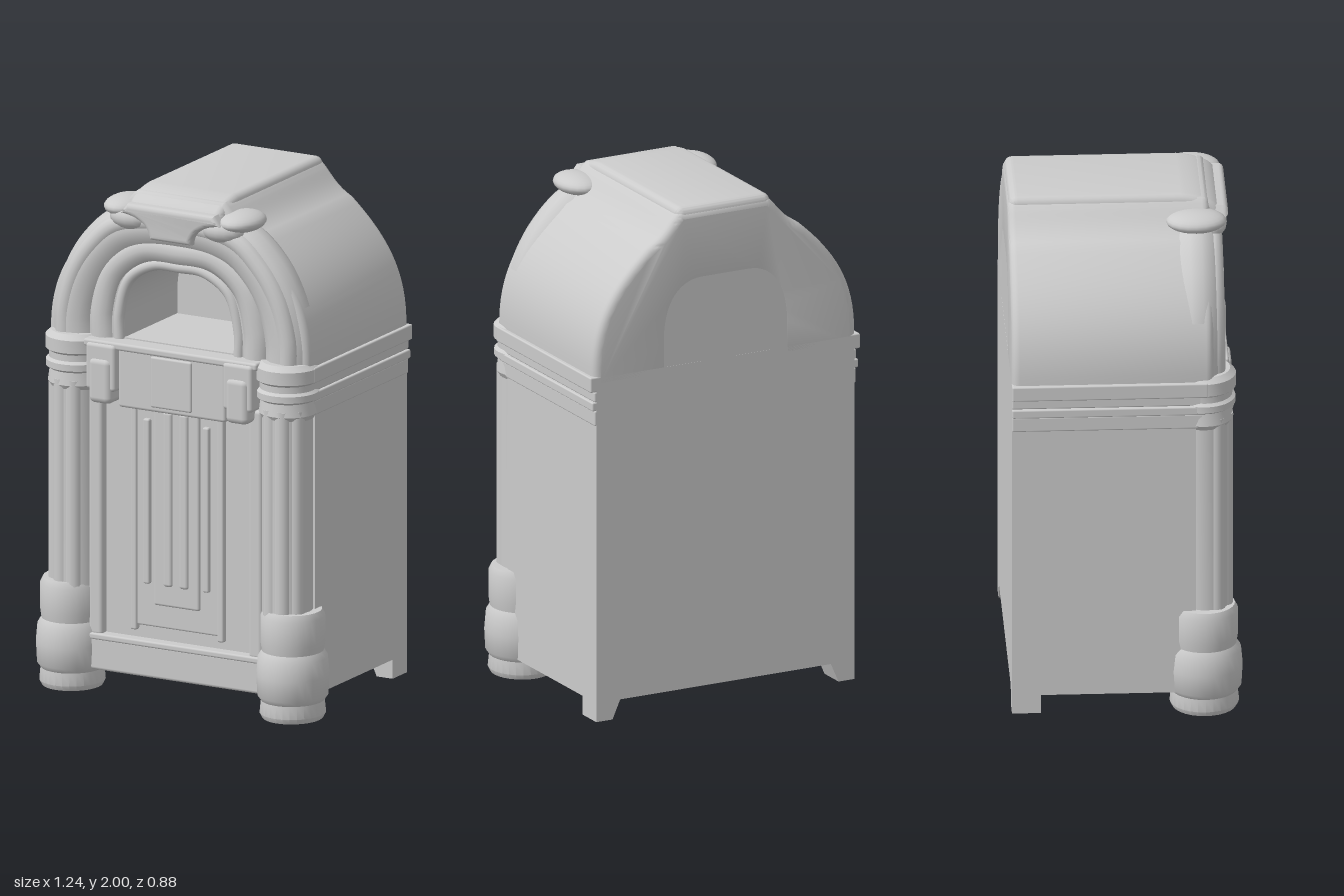
import * as THREE from 'three';
import { toCreasedNormals } from 'three/addons/utils/BufferGeometryUtils.js';
import { RoundedBoxGeometry } from 'three/addons/geometries/RoundedBoxGeometry.js';

const material = new THREE.MeshStandardMaterial({ color: 0xcccccc });

export function createModel() {
  const model = new THREE.Group();

  const add = (name, geometry, x = 0, y = 0, z = 0) => {
    const mesh = new THREE.Mesh(geometry, material);
    mesh.name = name;
    mesh.position.set(x, y, z);
    model.add(mesh);
    return mesh;
  };
  // Box given by its limits, with optional rounded edges
  const box = (name, x0, x1, y0, y1, z0, z1, r = 0) => {
    const size = [x1 - x0, y1 - y0, z1 - z0];
    const geometry = r ? new RoundedBoxGeometry(...size, 2, r) : new THREE.BoxGeometry(...size);
    return add(name, geometry, (x0 + x1) / 2, (y0 + y1) / 2, (z0 + z1) / 2);
  };
  // Extrusion between two depths, bevelled inwards so that the outline keeps its size
  const slab = (name, shape, z0, z1, bevel = 0) => {
    const geometry = new THREE.ExtrudeGeometry(shape, {
      depth: z1 - z0 - 2 * bevel, bevelEnabled: bevel > 0, bevelThickness: bevel,
      bevelSize: bevel, bevelOffset: -bevel, bevelSegments: 4, curveSegments: 16,
    });
    return add(name, toCreasedNormals(geometry, 0.6), 0, 0, z0 + bevel);
  };
  // Turned part from [radius, height] pairs
  const turned = (name, profile, x, z) => add(name, toCreasedNormals(
    new THREE.LatheGeometry(profile.map(p => new THREE.Vector2(...p)), 28), 0.6), x, 0, z);
  // Moulding following half an arch, mirrored over the centre
  const archMoulding = (name, half, radius, z) => {
    const left = half.map(([x, y]) => new THREE.Vector3(-x, y, 0));
    const right = half.filter(p => p[0] > 0).reverse().map(([x, y]) => new THREE.Vector3(x, y, 0));
    const curve = new THREE.CatmullRomCurve3([...left, ...right]);
    add(name, new THREE.TubeGeometry(curve, 64, radius, 14), 0, 0, z);
  };

  // Lower cabinet and skirt
  box('cabinet', -0.56, 0.56, 0.085, 1.38, -0.44, 0.26);
  box('frontBoard', -0.44, 0.44, 0.085, 1.38, 0.15, 0.3);
  box('skirt', -0.42, 0.42, 0.085, 0.215, 0.2, 0.36, 0.012);
  box('skirtLip', -0.4, 0.4, 0.205, 0.23, 0.2, 0.365, 0.008);

  // Front door with stepped vertical panels
  box('door', -0.34, 0.34, 0.22, 1.16, 0.2, 0.32);
  box('doorPanel', -0.19, 0.19, 0.28, 1.15, 0.28, 0.332, 0.008);
  box('doorCentre', -0.1, 0.1, 0.37, 1.15, 0.3, 0.345, 0.01);
  for (const x of [-0.035, 0.035]) box('doorRib', x - 0.02, x + 0.02, 0.45, 1.14, 0.31, 0.355, 0.012);

  // Domed hood, a horseshoe around the window
  const hood = new THREE.Shape();
  hood.moveTo(0.57, 1.33);
  hood.lineTo(0.57, 1.38);
  hood.bezierCurveTo(0.575, 1.6, 0.48, 1.73, 0.33, 1.86);
  hood.bezierCurveTo(0.25, 1.9, 0.23, 1.96, 0.19, 1.985);
  hood.lineTo(-0.19, 1.985);
  hood.bezierCurveTo(-0.23, 1.96, -0.25, 1.9, -0.33, 1.86);
  hood.bezierCurveTo(-0.48, 1.73, -0.575, 1.6, -0.57, 1.38);
  hood.lineTo(-0.57, 1.33);
  hood.lineTo(-0.24, 1.33);
  hood.lineTo(-0.24, 1.48);
  hood.bezierCurveTo(-0.24, 1.6, -0.2, 1.69, -0.1, 1.69);
  hood.lineTo(0.1, 1.69);
  hood.bezierCurveTo(0.2, 1.69, 0.24, 1.6, 0.24, 1.48);
  hood.lineTo(0.24, 1.33);
  slab('hood', hood, -0.44, 0.33, 0.03);
  box('windowBack', -0.3, 0.3, 1.33, 1.75, -0.4395, -0.08);
  box('windowFloor', -0.3, 0.3, 1.3, 1.4, -0.2, 0.32);

  // Raised spine along the top, curving down at the front
  const spine = new THREE.Shape();
  spine.moveTo(-0.435, 1.9);
  spine.lineTo(-0.435, 1.96);
  spine.quadraticCurveTo(-0.435, 2, -0.4, 2);
  spine.lineTo(0.22, 2);
  spine.bezierCurveTo(0.32, 1.99, 0.37, 1.96, 0.385, 1.9);
  spine.closePath();
  const spineMesh = slab('topSpine', spine, -0.205, 0.205, 0.03);
  spineMesh.rotation.y = -Math.PI / 2;
  spineMesh.position.set(0.175, 0, 0);

  // Arched mouldings over the window
  archMoulding('outerArch', [[0.465, 1.34], [0.462, 1.47], [0.425, 1.61], [0.35, 1.73], [0.24, 1.82], [0, 1.86]], 0.1, 0.27);
  archMoulding('outerArchBead', [[0.49, 1.36], [0.485, 1.49], [0.44, 1.64], [0.36, 1.76], [0.25, 1.85], [0, 1.88]], 0.04, 0.335);
  archMoulding('innerArch', [[0.335, 1.36], [0.335, 1.5], [0.285, 1.66], [0.16, 1.755], [0, 1.765]], 0.06, 0.295);
  archMoulding('windowTrim', [[0.262, 1.38], [0.262, 1.49], [0.217, 1.635], [0.11, 1.703], [0, 1.708]], 0.022, 0.32);

  // Crest between the scrolled shoulders
  const crest = new THREE.Shape();
  crest.moveTo(-0.09, 1.82);
  crest.lineTo(0.09, 1.82);
  crest.quadraticCurveTo(0.1, 1.9, 0.22, 1.91);
  crest.lineTo(0.19, 1.95);
  crest.lineTo(-0.19, 1.95);
  crest.lineTo(-0.22, 1.91);
  crest.quadraticCurveTo(-0.1, 1.9, -0.09, 1.82);
  slab('crest', crest, 0.28, 0.4, 0.02);

  // Stepped belt around the sides, flush at the back
  for (const [y0, y1, w] of [[1.19, 1.25, 0.567], [1.25, 1.285, 0.577], [1.285, 1.325, 0.568], [1.325, 1.385, 0.585]]) {
    for (const s of [-1, 1]) box('belt', s * w - 0.03 * (1 + s), s * w + 0.03 * (1 - s), y0, y1, -0.44, w - 0.28, 0.006);
  }
  box('frontPanel', -0.235, 0.235, 1.14, 1.385, 0.2, 0.38, 0.012);
  box('frontPanelCentre', -0.09, 0.09, 1.16, 1.36, 0.3, 0.388, 0.008);
  box('windowLedge', -0.38, 0.38, 1.365, 1.395, 0.25, 0.395, 0.01);

  for (const s of [-1, 1]) {
    // Scrolls curling forward over the arch
    const lobe = add('shoulderScroll', new THREE.SphereGeometry(1, 20, 14), s * 0.25, 1.915, 0.275);
    lobe.scale.set(0.085, 0.04, 0.115);
    const curl = add('scrollCurl', new THREE.SphereGeometry(1, 16, 12), s * 0.2, 1.885, 0.335);
    curl.scale.set(0.09, 0.05, 0.06);

    // Corner columns with raised flutes
    const cx = s * 0.462, cz = 0.3;
    turned('column', [[0, 0.38], [0.098, 0.38], [0.098, 1.22], [0, 1.22]], cx, cz);
    for (const a of [-0.7, 0, 0.7]) {
      const angle = a + s * 0.3;
      add('columnFlute', new THREE.CylinderGeometry(0.036, 0.036, 0.84, 12),
        cx + 0.072 * Math.sin(angle), 0.8, cz + 0.072 * Math.cos(angle));
    }
    turned('columnCapital', [[0, 1.17], [0.1, 1.18], [0.112, 1.2], [0.105, 1.25], [0.12, 1.26], [0.12, 1.285],
      [0.108, 1.295], [0.108, 1.32], [0.122, 1.33], [0.122, 1.38], [0.1, 1.4], [0, 1.4]], cx, cz - 0.005);

    // Bulging front feet
    const foot = turned('frontFoot', [[0, 0], [0.115, 0], [0.125, 0.02], [0.12, 0.07], [0.134, 0.09], [0.138, 0.17],
      [0.132, 0.24], [0.117, 0.265], [0.122, 0.3], [0.122, 0.4], [0.11, 0.425], [0, 0.425]], s * 0.483, 0.295);
    foot.scale.z = 1.06;

    // Tapered rear feet
    const rearFoot = new THREE.Shape();
    rearFoot.moveTo(s * 0.56, 0.1);
    rearFoot.lineTo(s * 0.45, 0.1);
    rearFoot.lineTo(s * 0.49, 0.01);
    rearFoot.lineTo(s * 0.56, 0.01);
    rearFoot.closePath();
    slab('rearFoot', rearFoot, -0.44, -0.33);

    // Brackets beside the front panel
    box('bracket', s * 0.3 - 0.065, s * 0.3 + 0.065, 1.2, 1.385, 0.2, 0.405, 0.015);
    box('bracketDrop', s * 0.3 - 0.05, s * 0.3 + 0.05, 1.15, 1.33, 0.2, 0.415, 0.025);

    // Door pilasters and side strips
    box('pilaster', s * 0.35 - 0.03, s * 0.35 + 0.03, 0.22, 1.2, 0.2, 0.355, 0.015);
    box('doorStrip', s * 0.19 - 0.014, s * 0.19 + 0.014, 0.26, 1.15, 0.28, 0.342, 0.008);
    box('doorBar', s * 0.13 - 0.014, s * 0.13 + 0.014, 0.45, 1.1, 0.3, 0.35, 0.008);
  }

  return model;
}
